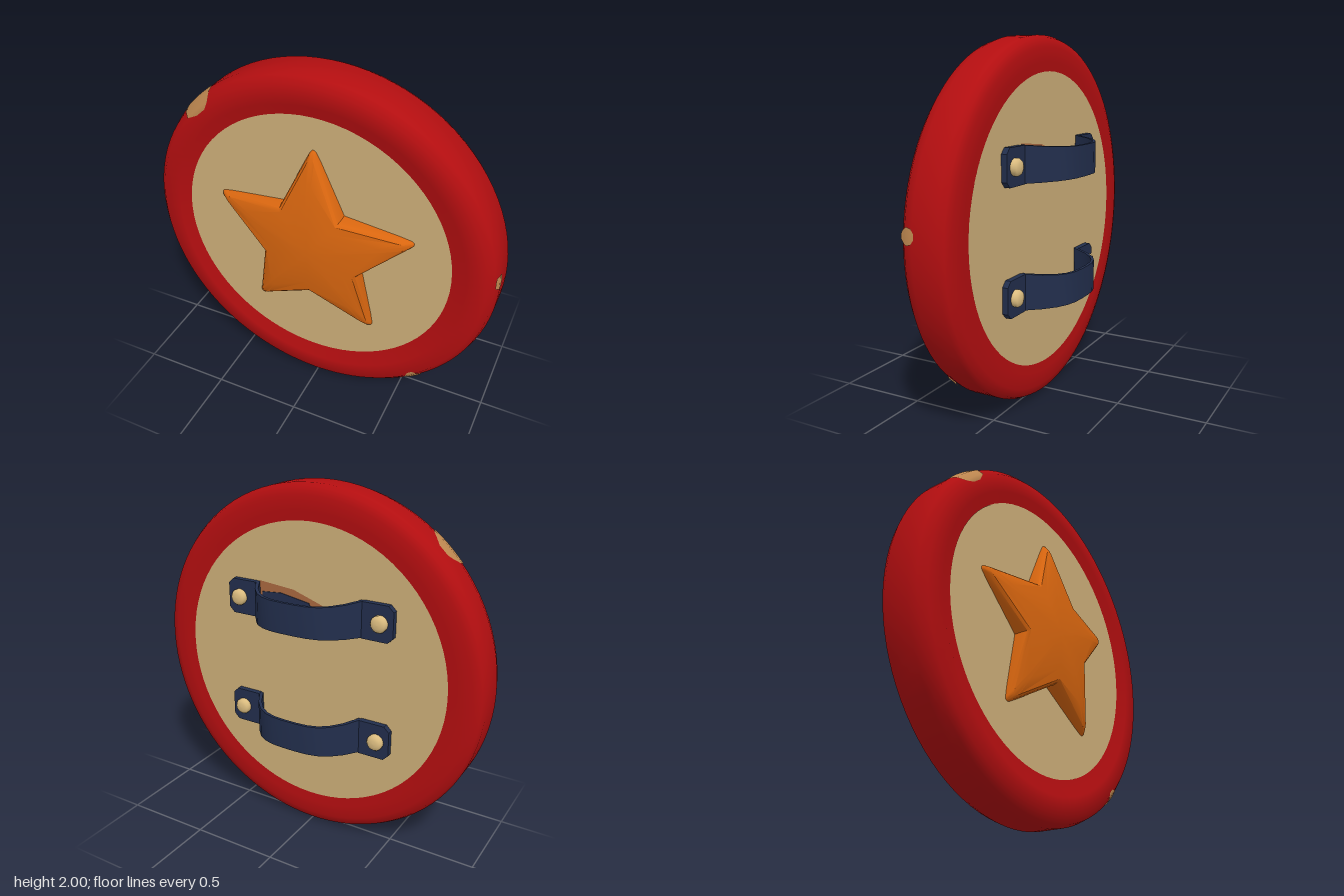
import * as THREE from 'three';
import { toCreasedNormals } from 'three/addons/utils/BufferGeometryUtils.js';

const paint = (name, color, side = THREE.FrontSide) => {
  const m = new THREE.MeshStandardMaterial({ color, side });
  m.name = name;
  return m;
};

// Joins rows of points (equal length) into a surface
function loft(rows, closed) {
  const n = rows[0].length, index = [];
  for (let i = 0; i < rows.length - 1; i++) {
    for (let j = 0; j < (closed ? n : n - 1); j++) {
      const k = (j + 1) % n, a = i * n + j, b = i * n + k, c = a + n, d = b + n;
      index.push(a, b, d, a, d, c);
    }
  }
  const g = new THREE.BufferGeometry();
  g.setAttribute('position', new THREE.Float32BufferAttribute(rows.flat(2), 3));
  g.setIndex(index);
  g.computeVertexNormals();
  return g;
}

// Domed five-pointed star with rounded tips and bevelled edges
function starGeometry() {
  const at = (r, i) => new THREE.Vector2(r * Math.sin(-i * Math.PI / 5), r * Math.cos(i * Math.PI / 5));
  const outline = [];
  for (let i = 0; i < 10; i += 2) {
    const tip = at(0.62, i);
    const a = tip.clone().lerp(at(0.292, i - 1), 0.12);
    const b = tip.clone().lerp(at(0.292, i + 1), 0.12);
    const curve = new THREE.QuadraticBezierCurve(a, tip, b);
    outline.push(...curve.getPoints(6), at(0.292, i + 1));
  }
  const dome = r => 0.288 - 0.088 * (r / 0.6) ** 2;
  // [scale of outline, drop below the dome]
  const rings = [[1, 0.11], [1, 0.035], [0.97, 0.012], [0.92, 0], [0.7, 0], [0.45, 0], [0.2, 0], [0.001, 0]];
  const rows = rings.map(([s, drop]) => outline.map(p => [p.x * s, p.y * s, dome(p.length() * s) - drop]));
  return toCreasedNormals(loft(rows, true), 0.6);
}

// Worn patch following the rim; each row is [radius, z, start angle, end angle]
function chipGeometry(rows) {
  const lift = 0.003, cols = 8;
  return loft(rows.map(([r, z, a0, a1]) => Array.from({ length: cols + 1 }, (_, j) => {
    const a = THREE.MathUtils.degToRad(a0 + (a1 - a0) * j / cols);
    return [(r + lift) * Math.cos(a), (r + lift) * Math.sin(a), z + lift];
  })).reverse(), false);
}

const shapeOf = pts => new THREE.Shape(pts.map(p => new THREE.Vector2(...p)));

export function createModel() {
  const red = paint('red paint', 0xb30e10);
  const tan = paint('tan wood', 0xccae78);
  const orange = paint('orange paint', 0xd9660f);
  const navy = paint('navy strap', 0x222e4c);
  const cream = paint('cream rivet', 0xdcbd80);
  const bare = paint('bare wood', 0xbf8850, THREE.DoubleSide);
  const brown = paint('brown stain', 0xa8683f, THREE.DoubleSide);

  const model = new THREE.Group();
  const add = (name, geometry, material, x = 0, y = 0, z = 0, parent = model) => {
    const mesh = new THREE.Mesh(geometry, material);
    mesh.name = name;
    mesh.position.set(x, y, z);
    parent.add(mesh);
    return mesh;
  };

  // Round rim with softened edges and a shallow front recess
  const profile = [[0.6, -0.064], [0.8, -0.064], [0.86, -0.072], [0.94, -0.07], [0.985, -0.055], [1, -0.025],
    [1, 0.115], [0.985, 0.165], [0.95, 0.2], [0.85, 0.2], [0.8, 0.178], [0.6, 0.178]];
  const rim = new THREE.LatheGeometry(profile.map(p => new THREE.Vector2(...p)), 96);
  rim.rotateX(Math.PI / 2);
  add('rim', toCreasedNormals(rim, 0.9), red, 0, 1, 0);

  // Wooden faces
  add('frontFace', new THREE.CircleGeometry(0.775, 80), tan, -0.007, 1.013, 0.182);
  add('backFace', new THREE.CircleGeometry(0.81, 80), tan, 0, 1, -0.068).rotation.y = Math.PI;

  add('star', starGeometry(), orange, 0, 1.02, 0);

  // Chips in the rim paint
  const chips = [
    [[0.925, 0.2, 131, 135], [0.95, 0.2, 128, 139], [0.985, 0.165, 127, 139.5], [1, 0.115, 127, 139.5],
      [1, 0.07, 130, 137.5], [1, 0.04, 132, 135.5]],
    [[0.988, 0.175, 3.6, 5.4], [0.99, 0.16, 2.5, 6.5], [1, 0.14, 2, 7], [1, 0.115, 2.4, 6.6], [1, 0.1, 3.6, 5.4]],
    [[0.93, 0.2, -51, -49], [0.95, 0.2, -53, -47.5], [0.985, 0.165, -53, -48], [1, 0.13, -51, -49.5]],
  ];
  chips.forEach((rows, i) => add('paintChip' + (i + 1), chipGeometry(rows), bare, 0, 1, 0));

  // Stains behind the upper strap
  const stain = [[0.32, 1.45], [0.1, 1.43], [-0.08, 1.37], [-0.1, 1.31], [-0.2, 1.34], [-0.34, 1.34],
    [-0.34, 1.29], [-0.06, 1.27], [0.28, 1.27], [0.33, 1.35]];
  const smear = [[0.3, 1.39], [0.18, 1.4], [0, 1.37], [-0.02, 1.29], [0.12, 1.28], [0.3, 1.3]];
  add('brownStain', new THREE.ShapeGeometry(shapeOf(stain)), brown, 0, 0, -0.071);
  const smearGeometry = new THREE.ExtrudeGeometry(shapeOf(smear), { depth: 0.004, bevelEnabled: false });
  add('navyStain', smearGeometry, navy, 0, 0, -0.075);

  // Arched strap, narrowing slightly away from the board
  const half = [[0.345, 0.075], [0.325, 0.1], [0.28, 0.175], [0.225, 0.235], [0.17, 0.268], [0.11, 0.285], [0.04, 0.29]];
  const inner = [[0.315, 0.075], [0.308, 0.09], [0.265, 0.165], [0.213, 0.222], [0.162, 0.254], [0.106, 0.27], [0.04, 0.275]];
  const mirror = pts => pts.map(([x, d]) => [-x, d]).reverse();
  const arch = new THREE.ExtrudeGeometry(
    shapeOf([...half, ...mirror(half), ...mirror(mirror(inner).reverse()).reverse().map(([x, d]) => [-x, d]), ...mirror(inner).reverse().map(([x, d]) => [-x, d]).reverse()]),
    { depth: 0.2, bevelEnabled: false });
  arch.translate(0, 0, -0.1);
  arch.rotateX(-Math.PI / 2);
  const pos = arch.attributes.position;
  for (let i = 0; i < pos.count; i++) {
    pos.setY(i, pos.getY(i) * (1 - 0.7 * (-pos.getZ(i) - 0.075)));
  }
  const archSmooth = toCreasedNormals(arch, 0.6);

  // Foot plate with clipped outer corners, and a domed rivet
  const foot = new THREE.ExtrudeGeometry(
    shapeOf([[-0.09, -0.1], [0.06, -0.1], [0.09, -0.07], [0.09, 0.07], [0.06, 0.1], [-0.09, 0.1]]),
    { depth: 0.035, bevelEnabled: false });
  const rivet = new THREE.LatheGeometry(
    [[0.045, 0], [0.046, 0.022], [0.038, 0.034], [0.02, 0.04], [0, 0.041]].map(p => new THREE.Vector2(...p)), 20);
  rivet.rotateX(-Math.PI / 2);

  for (const [name, y] of [['upperStrap', 1.345], ['lowerStrap', 0.67]]) {
    const strap = new THREE.Group();
    strap.name = name;
    strap.position.y = y;
    model.add(strap);
    add('arch', archSmooth, navy, 0, 0, 0, strap);
    for (const side of [1, -1]) {
      const plate = add('footPlate', foot, navy, side * 0.42, 0, -0.1, strap);
      if (side < 0) plate.rotation.z = Math.PI;
      add('rivet', rivet, cream, side * 0.435, 0, -0.097, strap);
    }
  }
  return model;
}
